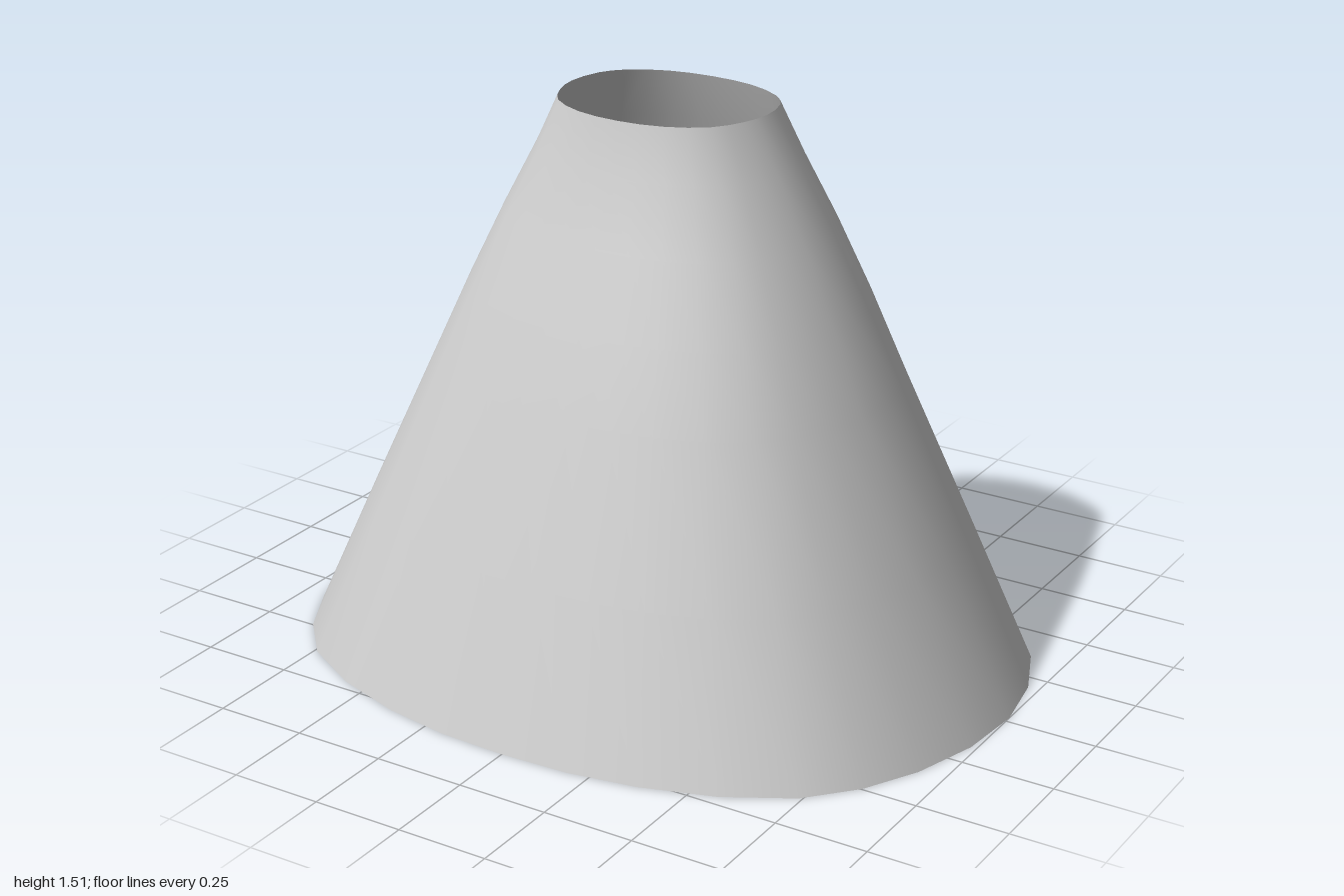
import * as THREE from 'three';

// Right half outlines from back to front, as [x, z]
const HEM = [[0, -0.825], [0.375, -0.775], [0.67, -0.6], [0.9, -0.36], [1, -0.02],
  [0.93, 0.35], [0.74, 0.62], [0.375, 0.78], [0, 0.82]];
const WAIST = [[0, -0.195], [0.125, -0.18], [0.225, -0.13], [0.272, -0.07], [0.29, 0.03],
  [0.272, 0.11], [0.225, 0.19], [0.125, 0.247], [0, 0.265]];
const HEIGHT = 1.51;
const SEGMENTS = 32;

// Height, then fullness of the sides, back and front relative to a straight cone
const LEVELS = [
  [0, 1, 1, 1], [0.4, 1.01, 1.01, 1], [0.8, 1.02, 1.03, 1], [1, 1.03, 1.05, 0.99],
  [1.2, 1.03, 1.05, 0.97], [1.37, 1.01, 1.01, 0.95], [HEIGHT, 1, 1, 1],
];

// Mirrors a half outline and samples it as a smooth closed loop
function outline(half) {
  const mirrored = half.slice(1, -1).reverse().map(([x, z]) => [-x, z]);
  const points = [...half, ...mirrored].map(([x, z]) => new THREE.Vector3(x, 0, z));
  const curve = new THREE.CatmullRomCurve3(points, true);
  return Array.from({ length: SEGMENTS }, (_, i) => curve.getPoint(i / SEGMENTS));
}

// Lofts the skirt from hem to waist, open at both ends
function skirtGeometry() {
  const hem = outline(HEM), waist = outline(WAIST);
  const positions = [], indices = [];
  LEVELS.forEach(([y, side, back, front], row) => {
    for (let i = 0; i < SEGMENTS; i++) {
      const p = hem[i].clone().lerp(waist[i], y / HEIGHT);
      positions.push(p.x * side, y, p.z * (p.z < 0 ? back : front));
      if (row === 0) continue;
      const next = (i + 1) % SEGMENTS;
      const a = (row - 1) * SEGMENTS + i, b = (row - 1) * SEGMENTS + next;
      const c = row * SEGMENTS + next, d = row * SEGMENTS + i;
      indices.push(a, c, b, a, d, c);
    }
  });
  const geometry = new THREE.BufferGeometry();
  geometry.setAttribute('position', new THREE.Float32BufferAttribute(positions, 3));
  geometry.setIndex(indices);
  geometry.computeVertexNormals();
  return geometry;
}

export function createModel() {
  const group = new THREE.Group();
  const material = new THREE.MeshStandardMaterial({ color: 0xcccccc, side: THREE.DoubleSide });
  const skirt = new THREE.Mesh(skirtGeometry(), material);
  skirt.name = 'skirt';
  group.add(skirt);
  return group;
}
